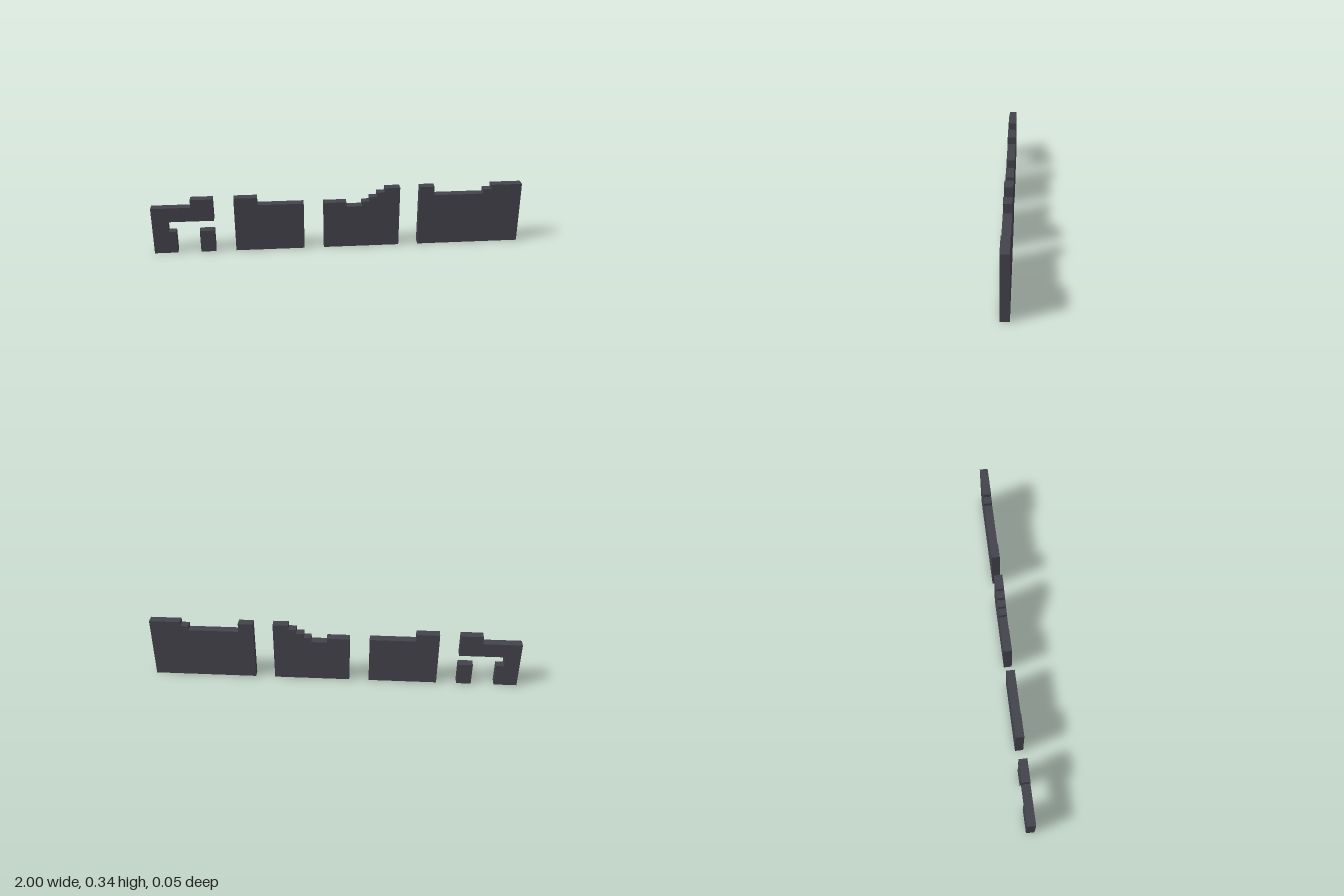
import * as THREE from 'three';

const DEPTH = 0.045;

export function createModel() {
  const model = new THREE.Group();
  model.name = 'ruinedWalls';
  const stone = new THREE.MeshStandardMaterial({ color: 0x43434b });
  stone.name = 'dark stone';

  // Extrudes an outline in the xy plane, centred on z = 0
  function slab(name, points) {
    const shape = new THREE.Shape(points.map(([x, y]) => new THREE.Vector2(x, y)));
    const geometry = new THREE.ExtrudeGeometry(shape, { depth: DEPTH, bevelEnabled: false });
    geometry.translate(0, 0, -DEPTH / 2);
    const mesh = new THREE.Mesh(geometry, stone);
    mesh.name = name;
    model.add(mesh);
  }

  // Wall standing on the ground; each step is [right end, height]
  function steppedWall(name, left, steps) {
    const right = steps[steps.length - 1][0];
    const points = [[left, 0], [right, 0]];
    for (let i = steps.length - 1; i >= 0; i--) {
      const start = i > 0 ? steps[i - 1][0] : left;
      points.push([steps[i][0], steps[i][1]], [start, steps[i][1]]);
    }
    slab(name, points);
  }

  // Broken doorway: hooked frame and a loose stump
  slab('brokenArch', [
    [-1, 0], [-0.875, 0], [-0.875, 0.125], [-0.915, 0.125], [-0.915, 0.184],
    [-0.67, 0.184], [-0.67, 0.309], [-0.79, 0.309], [-0.79, 0.265], [-1, 0.265],
  ]);
  steppedWall('archStump', -0.75, [[-0.67, 0.125]]);

  // Walls with crumbled, stepped tops
  steppedWall('lowWall', -0.56, [[-0.435, 0.309], [-0.187, 0.267]]);
  steppedWall('stairWall', -0.08, [
    [0.043, 0.266], [0.128, 0.241], [0.167, 0.266], [0.208, 0.291], [0.25, 0.316], [0.333, 0.341],
  ]);
  steppedWall('longWall', 0.44, [[0.52, 0.341], [0.791, 0.291], [0.833, 0.316], [1, 0.341]]);

  return model;
}
